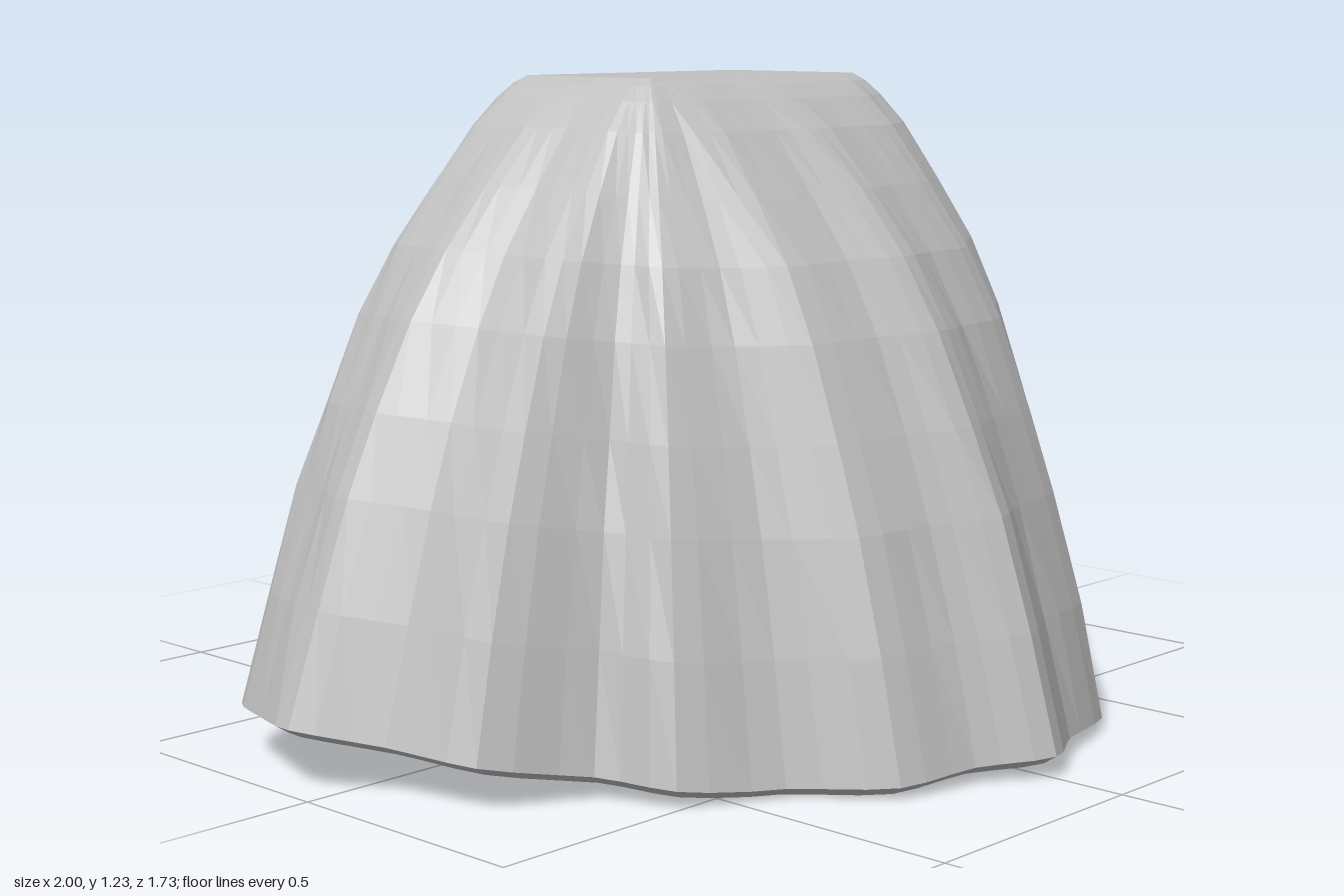
import * as THREE from 'three';

// Hem outline seen from above (x, z), front point first, going round by the left side
const HEM = [
  [0, .86], [.14, .79], [.33, .73], [.41, .59], [.59, .51], [.68, .36], [.80, .27], [.87, .11],
  [1, -.05], [.93, -.21], [.86, -.35], [.70, -.46], [.64, -.62], [.47, -.69], [.34, -.80], [.17, -.81],
  [.02, -.87], [-.13, -.80], [-.34, -.75], [-.45, -.64], [-.60, -.57], [-.67, -.45], [-.89, -.33], [-.96, -.18],
  [-1, -.05], [-.90, .09], [-.85, .27], [-.66, .36], [-.60, .50], [-.42, .59], [-.29, .74], [-.13, .78],
];
// Dome profile: [drop from the top, spread from crown to hem], both 0..1
const PROFILE = [
  [0, 0], [.012, .05], [.035, .11], [.08, .2], [.17, .335], [.27, .475],
  [.38, .59], [.52, .705], [.65, .8], [.82, .905], [1, 1],
];
const TOP = 1.23, CZ = -.03, SUB = 3, COLS = HEM.length * SUB, WALL = .028, LIP = .018;

// The hem rises towards both sides, a little at the middle, and towards the back
function hemHeight(x, z) {
  const a = Math.abs(x);
  return LIP + .1 * Math.pow(Math.max(0, (a - .45) / .55), 1.4)
    + .022 * Math.max(0, 1 - a / .35) + .03 * Math.max(0, -z) * (1 - a * a);
}

// Limits v to +-limit with a small rounding
function softClamp(v, limit) {
  return v / Math.pow(1 + Math.pow(Math.abs(v) / limit, 6), 1 / 6);
}

// Crown edge: a rectangle where the pleats gather at the corners
function crownPoint(p) {
  return [softClamp(p.x * .75, .29), CZ + softClamp((p.z - CZ) * .5, .165)];
}

function buildRings() {
  let seed = 7;
  const rand = () => (seed = (seed * 16807) % 2147483647) / 2147483647 - .5;
  const curve = new THREE.CatmullRomCurve3(
    HEM.map(([x, z]) => new THREE.Vector3(x, 0, z)), true, 'catmullrom', .35);
  const hem = Array.from({ length: COLS }, (_, i) => curve.getPoint(i / COLS));

  const outer = PROFILE.map(([drop, spread], row) => hem.map((p) => {
    const [cx, cz] = crownPoint(p);
    // front and back bulge more than the sides
    const s = (p.z - CZ) / Math.hypot(p.x, p.z - CZ);
    const u = spread + (s < 0 ? .065 : .03) * s * s * Math.sin(Math.PI * spread);
    // slight unevenness of the cloth away from crown and hem
    const j = row > 2 && row < PROFILE.length - 1 ? 1 + .01 * rand() : 1;
    return new THREE.Vector3(
      (cx + (p.x - cx) * u) * j,
      TOP - (TOP - hemHeight(p.x, p.z)) * drop,
      (cz + (p.z - cz) * u - CZ) * j + CZ);
  }));

  // Inner wall: moved inwards, and down most near the crown
  const inner = outer.map((ring, row) => ring.map((p) => {
    const r = Math.hypot(p.x, p.z - CZ), k = (r - WALL) / r;
    const y = p.y - LIP - .014 * (1 - PROFILE[row][1]);
    return new THREE.Vector3(p.x * k, y, (p.z - CZ) * k + CZ);
  }));

  const point = (y) => Array.from({ length: COLS }, () => new THREE.Vector3(0, y, CZ));
  return { outer: [point(TOP), ...outer], inner: [...inner.reverse(), point(TOP - LIP - .014)] };
}

// Joins successive rings with separate flat facets
function loft(rings) {
  const pos = [];
  const tri = (a, b, c) => {
    if (a.equals(b) || b.equals(c) || c.equals(a)) return;
    for (const v of [a, b, c]) pos.push(v.x, v.y, v.z);
  };
  for (let r = 0; r + 1 < rings.length; r++) {
    for (let i = 0; i < COLS; i++) {
      const n = (i + 1) % COLS;
      const a = rings[r][i], b = rings[r][n], c = rings[r + 1][n], d = rings[r + 1][i];
      tri(a, d, c);
      tri(a, c, b);
    }
  }
  const g = new THREE.BufferGeometry();
  g.setAttribute('position', new THREE.Float32BufferAttribute(pos, 3));
  g.computeVertexNormals();
  return g;
}

export function createModel() {
  const group = new THREE.Group();
  group.name = 'pleatedDome';
  const grey = new THREE.MeshStandardMaterial({ color: 0xc0c0c0 });
  grey.name = 'light grey';

  const { outer, inner } = buildRings();
  const add = (name, rings) => {
    const mesh = new THREE.Mesh(loft(rings), grey);
    mesh.name = name;
    group.add(mesh);
  };
  add('crown', outer.slice(0, 2));
  add('outerPleats', outer.slice(1));
  add('hemEdge', [outer[outer.length - 1], inner[0]]);
  add('innerLining', inner);
  return group;
}
